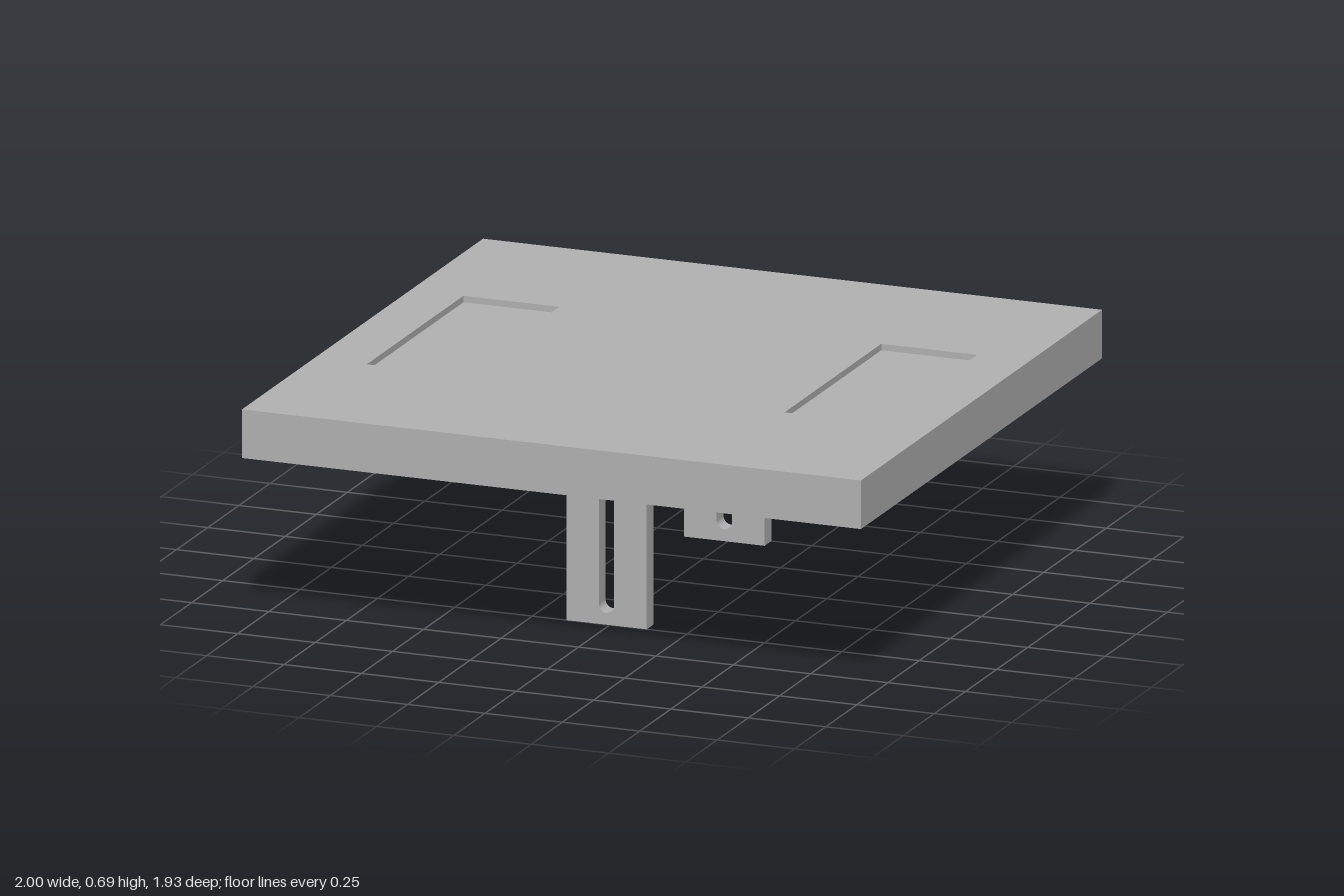
import * as THREE from 'three';

const HALF_X = 1, HALF_Z = 0.967;

// Closed rectangle outline centred on (cx, cy)
function rect(Type, cx, cy, hw, hh) {
  return new Type([[-1, -1], [1, -1], [1, 1], [-1, 1]]
    .map(([u, v]) => new THREE.Vector2(cx + u * hw, cy + v * hh)));
}

// Horizontal slab of the lid between two heights, with holes cut through it
function slab(name, y0, y1, holes, material) {
  const shape = rect(THREE.Shape, 0, 0, HALF_X, HALF_Z);
  shape.holes.push(...holes);
  const geo = new THREE.ExtrudeGeometry(shape, { depth: y1 - y0, bevelEnabled: false });
  geo.rotateX(-Math.PI / 2).translate(0, y0, 0);
  const mesh = new THREE.Mesh(geo, material);
  mesh.name = name;
  return mesh;
}

// Upright plate with a round-ended slot
function slottedLeg(name, z, height, material) {
  const cx = -0.01, thickness = 0.055, r = 0.025, low = 0.062, high = 0.51;
  const shape = rect(THREE.Shape, cx, height / 2, 0.13, height / 2);
  const slot = new THREE.Path();
  slot.absarc(cx, high, r, 0, Math.PI, false);
  slot.absarc(cx, low, r, Math.PI, Math.PI * 2, false);
  slot.closePath();
  shape.holes.push(slot);
  const geo = new THREE.ExtrudeGeometry(shape, {
    depth: thickness, bevelEnabled: false, curveSegments: 16,
  });
  geo.translate(0, 0, z - thickness / 2);
  const mesh = new THREE.Mesh(geo, material);
  mesh.name = name;
  return mesh;
}

export function createModel() {
  const grey = new THREE.MeshStandardMaterial({ color: 0xb2b2b2 });
  grey.name = 'plain grey';
  const model = new THREE.Group();
  model.name = 'lidWithLegs';

  const opening = (inset) => rect(THREE.Path, 0, 0, HALF_X - inset, HALF_Z - inset);
  const recesses = [-1, 1].map((s) => rect(THREE.Path, s * 0.675, 0, 0.155, 0.388));
  const ceiling = 0.655;

  // Hollow lid: stepped rim below, shallow recesses on top
  model.add(
    slab('rimLip', 0.54, 0.57, [opening(0.03)], grey),
    slab('innerRim', 0.57, ceiling, [opening(0.06)], grey),
    slab('deck', ceiling, 0.672, [], grey),
    slab('recessedTop', 0.672, 0.692, recesses, grey),
  );

  // Slotted legs hanging from the deck
  model.add(
    slottedLeg('frontLeg', 0.473, ceiling, grey),
    slottedLeg('backLeg', -0.473, ceiling, grey),
  );
  return model;
}
